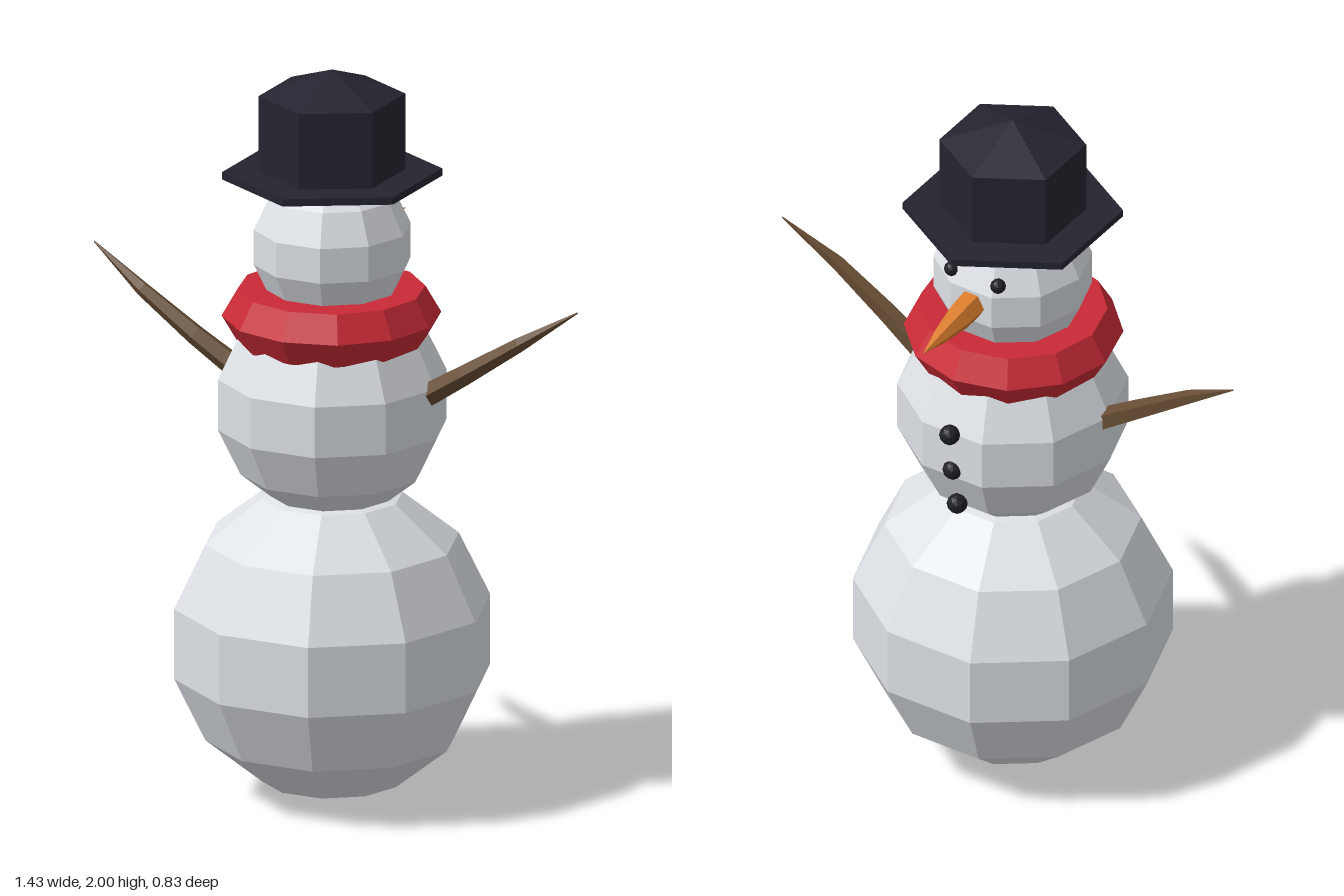
import * as THREE from 'three';

const AXIS_Z = 0.013; // the body stands slightly behind the origin, facing -z

function material(name, color) {
  const m = new THREE.MeshStandardMaterial({ color, flatShading: true });
  m.name = name;
  return m;
}

// Faceted tube along a curve whose radius follows a list of values
function taperedTube(points, radii, sides) {
  const curve = new THREE.CatmullRomCurve3(points.map(p => new THREE.Vector3(...p)));
  const steps = radii.length - 1;
  const geo = new THREE.TubeGeometry(curve, steps, 1, sides, false);
  const pos = geo.attributes.position;
  const v = new THREE.Vector3();
  for (let i = 0; i < pos.count; i++) {
    const ring = Math.floor(i / (sides + 1));
    const centre = curve.getPointAt(ring / steps);
    v.fromBufferAttribute(pos, i).sub(centre).multiplyScalar(radii[ring]).add(centre);
    pos.setXYZ(i, v.x, v.y, v.z);
  }
  geo.computeVertexNormals();
  return geo;
}

export function createModel() {
  const model = new THREE.Group();
  model.name = 'snowman';

  const snow = material('snow', 0xdde1e6);
  const red = material('scarf red', 0xc92a36);
  const black = material('hat black', 0x242430);
  const coal = material('coal', 0x1c1e23);
  const wood = material('wood', 0x664c33);
  const orange = material('carrot orange', 0xdb7d2c);

  const add = (name, geo, mat, x = 0, y = 0, z = 0, parent = model) => {
    const mesh = new THREE.Mesh(geo, mat);
    mesh.name = name;
    mesh.position.set(x, y, z);
    parent.add(mesh);
    return mesh;
  };

  // Three snowballs
  const balls = [['lowerBody', 0.433, 0.436], ['upperBody', 0.313, 1.09], ['head', 0.215, 1.52]];
  for (const [name, r, y] of balls) {
    add(name, new THREE.SphereGeometry(r, 10, 7), snow, 0, y, AXIS_Z);
  }

  // Scarf ring
  const scarf = new THREE.TorusGeometry(0.206, 0.084, 6, 12).rotateX(Math.PI / 2);
  add('scarf', scarf, red, 0, 1.328, AXIS_Z + 0.004);

  // Six-sided hat: brim, crown and shallow peaked top
  const hat = new THREE.Group();
  hat.name = 'hat';
  hat.position.z = AXIS_Z;
  model.add(hat);
  add('hatBrim', new THREE.CylinderGeometry(0.291, 0.291, 0.02, 6), black, 0, 1.712, 0, hat);
  add('hatCrown', new THREE.CylinderGeometry(0.194, 0.194, 0.21, 6, 1, true), black, 0, 1.825, 0, hat);
  add('hatTop', new THREE.ConeGeometry(0.194, 0.07, 6, 1, true), black, 0, 1.965, 0, hat);

  // Carrot nose
  const nose = taperedTube(
    [[0, 1.525, -0.16], [0, 1.517, -0.245], [0, 1.509, -0.33], [0, 1.5, -0.415]],
    [0.042, 0.038, 0.023, 0.001], 6);
  add('nose', nose, orange);

  // Coal eyes and buttons
  for (const s of [-1, 1]) {
    add(s > 0 ? 'leftEye' : 'rightEye', new THREE.IcosahedronGeometry(0.021, 1), coal, s * 0.073, 1.6, -0.168);
  }
  [[1.162, -0.289], [1.041, -0.273], [0.919, -0.253]].forEach(([y, z], i) => {
    add('button' + (i + 1), new THREE.IcosahedronGeometry(0.028, 1), coal, 0, y, z);
  });

  // Stick arms
  for (const s of [-1, 1]) {
    const arm = taperedTube(
      [[s * 0.24, 1.115, 0.014], [s * 0.4, 1.217, 0.022], [s * 0.56, 1.322, 0.018], [s * 0.713, 1.421, -0.01]],
      [0.034, 0.028, 0.02, 0.002], 5);
    add(s > 0 ? 'leftArm' : 'rightArm', arm, wood);
  }

  return model;
}
